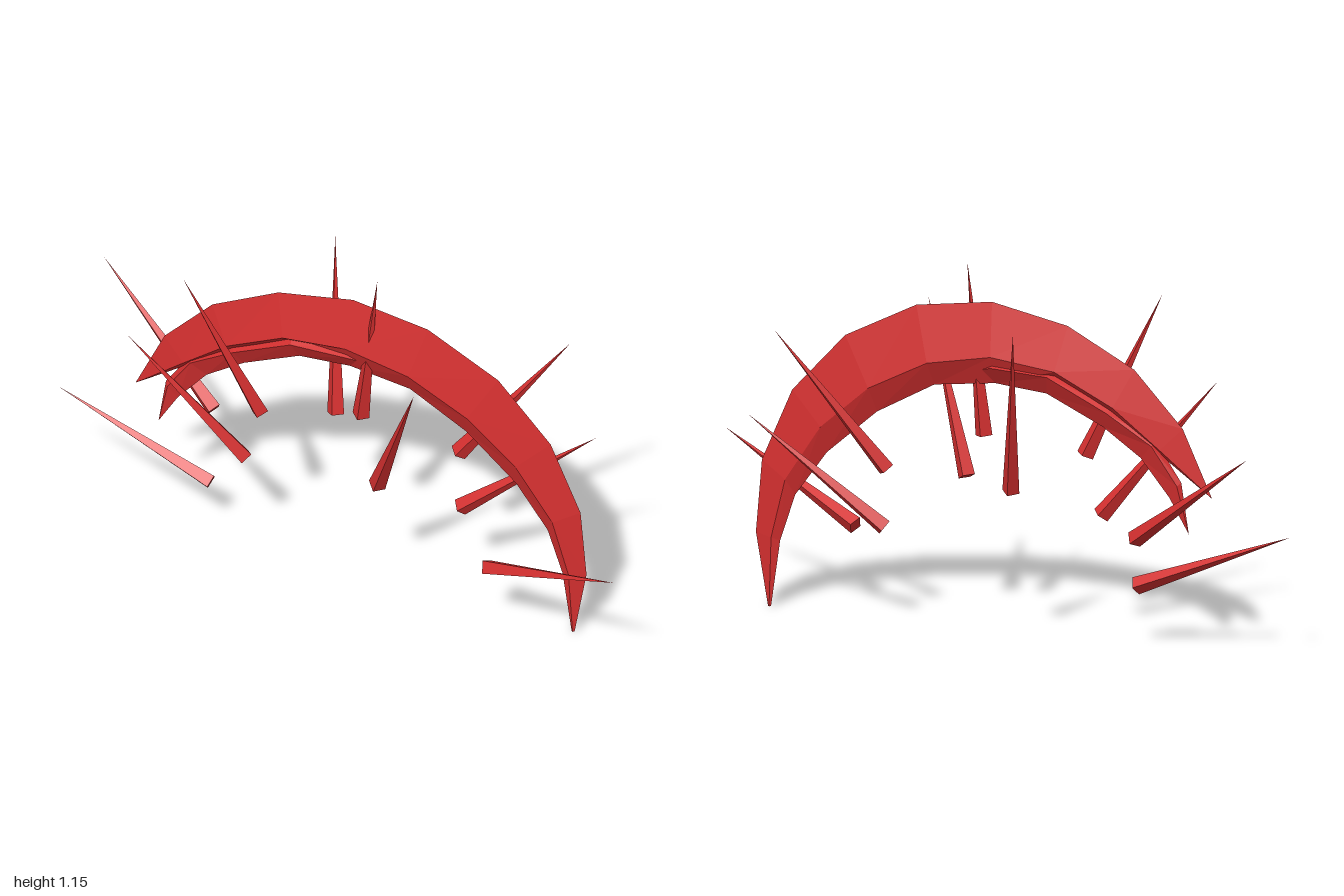
import * as THREE from 'three';

const red = new THREE.MeshStandardMaterial({ color: 0xd32f2f, flatShading: true });
red.name = 'crimson';

// Lofts a four-sided blade, running from +x over the top to -x.
// Each station: outer edge x, y, ridge x, y, inner edge x, y, half thickness.
function blade(name, stations) {
  const rings = stations.map(([ox, oy, rx, ry, ix, iy, w]) => [
    [ox, oy, 0], [rx, ry, w], [ix, iy, 0], [rx, ry, -w],
  ]);
  const pos = [];
  for (let i = 0; i < rings.length - 1; i++) {
    for (let j = 0; j < 4; j++) {
      const k = (j + 1) % 4;
      const a = rings[i][j], b = rings[i][k], c = rings[i + 1][k], d = rings[i + 1][j];
      pos.push(...a, ...d, ...c, ...a, ...c, ...b);
    }
  }
  const geo = new THREE.BufferGeometry();
  geo.setAttribute('position', new THREE.Float32BufferAttribute(pos, 3));
  geo.computeVertexNormals();
  const mesh = new THREE.Mesh(geo, red);
  mesh.name = name;
  return mesh;
}

const tip = (x, y) => [x, y, x, y, x, y, 0];

// Thin square-based cone from the centre of its base to its point
function spike(base, point) {
  const a = new THREE.Vector3(...base), b = new THREE.Vector3(...point);
  const dir = b.clone().sub(a);
  const length = dir.length();
  const geo = new THREE.ConeGeometry(0.028, length, 4);
  geo.translate(0, length / 2, 0);
  const mesh = new THREE.Mesh(geo, red);
  mesh.quaternion.setFromUnitVectors(new THREE.Vector3(0, 1, 0), dir.normalize());
  mesh.position.copy(a);
  mesh.name = 'spike';
  return mesh;
}

export function createModel() {
  const model = new THREE.Group();
  model.name = 'spikedCrescent';

  // Main crescent, ending in the upper prong
  model.add(blade('crescent', [
    [0.73, 0, 0.725, 0, 0.72, 0, 0.004],
    [0.77, 0.23, 0.715, 0.22, 0.69, 0.21, 0.012],
    [0.75, 0.46, 0.665, 0.41, 0.64, 0.36, 0.021],
    [0.65, 0.69, 0.545, 0.59, 0.535, 0.505, 0.029],
    [0.475, 0.88, 0.385, 0.73, 0.37, 0.65, 0.035],
    [0.24, 1.0, 0.19, 0.83, 0.18, 0.755, 0.038],
    [-0.01, 1.035, -0.02, 0.87, -0.02, 0.78, 0.038],
    [-0.26, 0.985, -0.23, 0.845, -0.22, 0.815, 0.036],
    [-0.48, 0.87, -0.42, 0.75, -0.4, 0.725, 0.03],
    [-0.64, 0.7, -0.57, 0.63, -0.56, 0.615, 0.018],
    tip(-0.737, 0.49),
  ]));

  // Lower prong, splitting off under the crown
  model.add(blade('lowerProng', [
    tip(0.06, 0.81),
    [-0.02, 0.85, -0.02, 0.835, -0.02, 0.78, 0.036],
    [-0.21, 0.84, -0.205, 0.825, -0.19, 0.765, 0.034],
    [-0.405, 0.745, -0.4, 0.73, -0.375, 0.68, 0.028],
    [-0.55, 0.655, -0.545, 0.64, -0.5, 0.595, 0.021],
    [-0.635, 0.53, -0.625, 0.52, -0.595, 0.48, 0.011],
    tip(-0.66, 0.37),
  ]));

  // Spikes fanning outward through the arc
  const spikes = [
    [[0.49, 0.25, 0.115], [0.99, 0.465, 0.285]],
    [[0.12, 0.445, 0.11], [0.315, 0.955, 0.27]],
    [[-0.34, 0.38, 0.07], [-0.68, 0.81, 0.178]],
    [[-0.29, 0.565, 0.065], [-0.505, 1.07, 0.16]],
    [[0.02, 0.61, 0.008], [0.08, 1.147, 0.02]],
    [[-0.125, 0.48, -0.125], [-0.2, 1.02, -0.287]],
    [[0.305, 0.495, -0.08], [0.625, 0.93, -0.2]],
    [[0.32, 0.305, -0.06], [0.735, 0.64, -0.145]],
    [[-0.53, 0.37, -0.12], [-0.97, 0.705, -0.28]],
    [[-0.485, 0.19, 0], [-0.995, 0.395, 0]],
  ];
  for (const [base, point] of spikes) model.add(spike(base, point));

  return model;
}
